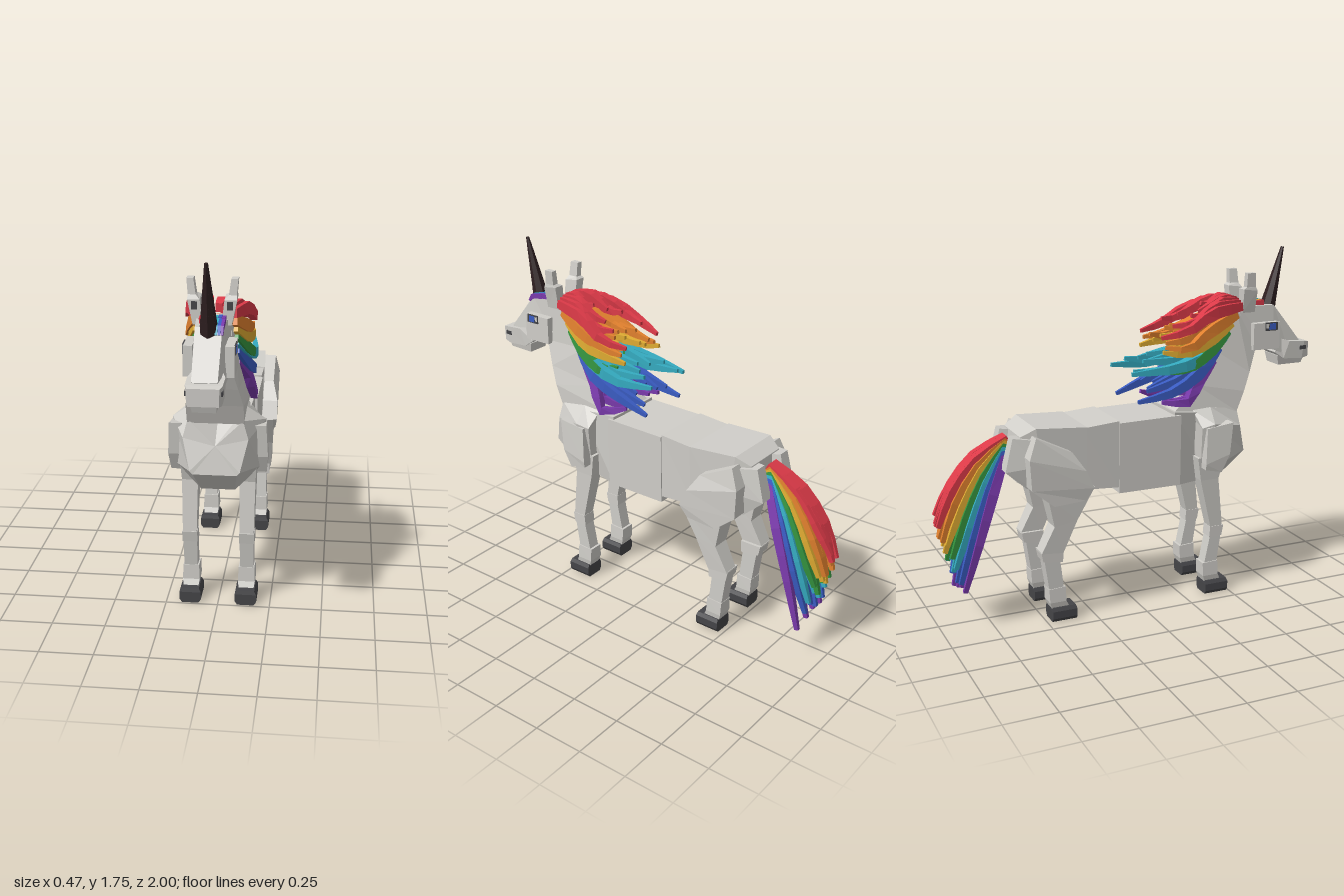
import * as THREE from 'three';

const mat = (name, color) => {
  const m = new THREE.MeshStandardMaterial({ color, flatShading: true });
  m.name = name;
  return m;
};

// Closed faceted solid through a list of rings with equal point counts
function loft(rings) {
  const tris = [], n = rings[0].length, last = rings[rings.length - 1];
  for (let i = 0; i < rings.length - 1; i++)
    for (let j = 0; j < n; j++) {
      const k = (j + 1) % n, a = rings[i], b = rings[i + 1];
      tris.push([a[j], a[k], b[k]], [a[j], b[k], b[j]]);
    }
  for (let j = 1; j < n - 1; j++)
    tris.push([rings[0][0], rings[0][j + 1], rings[0][j]], [last[0], last[j], last[j + 1]]);
  // Turn the solid outside out when its signed volume is negative
  let volume = 0;
  const cross = new THREE.Vector3();
  for (const [a, b, c] of tris) volume += a.dot(cross.crossVectors(b, c));
  const pos = [];
  for (const [a, b, c] of tris)
    for (const p of volume < 0 ? [a, c, b] : [a, b, c]) pos.push(p.x, p.y, p.z);
  const g = new THREE.BufferGeometry();
  g.setAttribute('position', new THREE.Float32BufferAttribute(pos, 3));
  g.computeVertexNormals();
  return g;
}

// Square section between two points of the side outline: [z, y, halfWidth, z, y, halfWidth, shift]
const section = (cx, [za, ya, wa, zb, yb, wb, dx = 0]) => [
  new THREE.Vector3(cx + dx - wa, ya, za), new THREE.Vector3(cx + dx + wa, ya, za),
  new THREE.Vector3(cx + dx + wb, yb, zb), new THREE.Vector3(cx + dx - wb, yb, zb)];

// Tapered square lock of hair along a curve
function strandGeometry(points, size, tip) {
  const curve = new THREE.CatmullRomCurve3(points), rings = [], steps = 6;
  for (let i = 0; i <= steps; i++) {
    const t = i / steps, p = curve.getPointAt(t), d = curve.getTangentAt(t);
    const up = new THREE.Vector3().crossVectors(d, new THREE.Vector3(1, 0, 0)).normalize();
    const side = new THREE.Vector3().crossVectors(up, d);
    const r = size * Math.min(1, 0.65 + t * 1.2) * (1 - t * t) + tip * t * t;
    rings.push([[1, 1], [1, -1], [-1, -1], [-1, 1]].map(([a, b]) =>
      p.clone().addScaledVector(up, a * r).addScaledVector(side, b * r * 0.75)));
  }
  return loft(rings);
}

export function createModel() {
  const model = new THREE.Group();
  model.name = 'unicorn';
  const coat = mat('coat', 0xd0cec9), hoofGrey = mat('hoof grey', 0x454548), dark = mat('horn brown', 0x2e1f20);
  const rainbow = [mat('red', 0xdc3a48), mat('orange', 0xe2812e), mat('yellow', 0xdfab32), mat('green', 0x35943f),
    mat('teal', 0x35abc0), mat('blue', 0x3a5cc2), mat('purple', 0x7a3aac)];
  let seed = 11;
  const jitter = (a) => {
    seed = (seed * 16807) % 2147483647;
    return (seed / 2147483647 - 0.5) * 2 * a;
  };
  const add = (name, geometry, material, parent = model) => {
    const m = new THREE.Mesh(geometry, material);
    m.name = name;
    parent.add(m);
    return m;
  };
  const part = (name, material, cx, sections, parent) =>
    add(name, loft(sections.map((s) => section(cx, s))), material, parent);
  const box = (name, material, w, h, d, x, y, z, parent) => {
    const m = add(name, new THREE.BoxGeometry(w, h, d), material, parent);
    m.position.set(x, y, z);
    return m;
  };

  // Torso blocks
  part('frontBarrel', coat, 0, [[0.42, 0.96, 0.14, 0.44, 0.6, 0.08], [0.19, 0.985, 0.155, 0.2, 0.605, 0.15]]);
  part('middleBarrel', coat, 0, [[0.22, 0.97, 0.165, 0.22, 0.61, 0.16], [-0.11, 0.965, 0.165, -0.11, 0.61, 0.16]]);
  part('rearBarrel', coat, 0, [[-0.11, 0.975, 0.16, -0.11, 0.64, 0.155], [-0.3, 0.96, 0.16, -0.3, 0.65, 0.15]]);
  part('rump', coat, 0, [[-0.28, 0.965, 0.165, -0.28, 0.65, 0.15], [-0.53, 0.98, 0.15, -0.48, 0.63, 0.14],
    [-0.6, 0.94, 0.12, -0.62, 0.72, 0.11]]);

  // Faceted chest, given as half outlines from the centre line downwards
  const chestRings = [
    [[0, 0.85, 0.578], [0.125, 0.965, 0.55], [0.15, 0.88, 0.56], [0.115, 0.735, 0.605], [0.1, 0.72, 0.605]],
    [[0, 0.97, 0.4], [0.13, 0.985, 0.4], [0.22, 0.92, 0.38], [0.2, 0.7, 0.42], [0.08, 0.59, 0.46]],
    [[0, 0.97, 0.3], [0.13, 0.98, 0.3], [0.2, 0.9, 0.32], [0.17, 0.68, 0.33], [0.1, 0.6, 0.34]],
  ].map((half) => [...half.map(([x, y, z]) => new THREE.Vector3(x, y, z)),
    ...half.slice(1).reverse().map(([x, y, z]) => new THREE.Vector3(-x, y, z))]);
  add('chest', loft(chestRings), coat);

  // Neck and head
  part('neck', coat, 0, [[0.68, 1.26, 0.08, 0.565, 1.465, 0.075], [0.63, 1.14, 0.11, 0.43, 1.27, 0.09],
    [0.59, 1.05, 0.13, 0.33, 1.1, 0.11], [0.55, 0.95, 0.13, 0.2, 0.98, 0.13]]);
  part('head', coat, 0, [[0.95, 1.272, 0.055, 0.9, 1.19, 0.06], [0.79, 1.465, 0.058, 0.78, 1.24, 0.08],
    [0.58, 1.47, 0.075, 0.62, 1.25, 0.08]]);
  part('muzzle', coat, 0, [[1, 1.262, 0.068, 1, 1.185, 0.065], [0.97, 1.268, 0.078, 0.96, 1.178, 0.074],
    [0.88, 1.275, 0.08, 0.85, 1.185, 0.075], [0.83, 1.29, 0.06, 0.8, 1.22, 0.07]]);
  part('lowerJaw', coat, 0, [[0.98, 1.18, 0.055, 0.97, 1.15, 0.05], [0.82, 1.2, 0.065, 0.83, 1.15, 0.055]]);

  // Horn built from shrinking tiers
  const horn = new THREE.Group();
  horn.name = 'horn';
  const tiers = 10, hornLength = 0.325;
  for (let i = 0; i < tiers; i++) {
    const r = 0.042 - i * 0.0034;
    add('hornTier', new THREE.CylinderGeometry(r - 0.003, r, hornLength / tiers, 7), dark, horn)
      .position.y = (i + 0.5) * hornLength / tiers;
  }
  horn.position.set(0, 1.435, 0.785);
  horn.rotation.x = 0.25;
  model.add(horn);

  for (const s of [1, -1]) {
    const g = new THREE.Group();
    g.name = (s > 0 ? 'left' : 'right') + 'Side';
    model.add(g);

    // Cheek, eye, nostril and ear
    box('cheek', coat, 0.04, 0.135, 0.15, s * 0.09, 1.317, 0.725, g);
    box('eye', hoofGrey, 0.006, 0.042, 0.07, s * 0.111, 1.365, 0.75, g);
    box('iris', rainbow[5], 0.006, 0.032, 0.035, s * 0.113, 1.365, 0.755, g);
    box('eyeShine', coat, 0.006, 0.022, 0.014, s * 0.113, 1.368, 0.726, g);
    box('nostril', hoofGrey, 0.008, 0.02, 0.036, s * 0.075, 1.235, 0.962, g);
    part('ear', coat, 0, [[0.665, 1.44, 0.022, 0.595, 1.44, 0.022, s * 0.062], [0.665, 1.55, 0.027, 0.59, 1.56, 0.027, s * 0.08],
      [0.655, 1.57, 0.017, 0.605, 1.57, 0.017, s * 0.088], [0.65, 1.64, 0.015, 0.605, 1.64, 0.015, s * 0.096]], g);
    box('innerEar', hoofGrey, 0.026, 0.035, 0.006, s * 0.077, 1.525, 0.666, g);

    // Front leg
    part('shoulder', coat, s * 0.195, [[0.48, 0.92, 0.03, 0.34, 0.9, 0.025], [0.46, 0.76, 0.038, 0.33, 0.72, 0.035],
      [0.42, 0.67, 0.03, 0.33, 0.69, 0.03]], g);
    part('frontForearm', coat, s * 0.136, [[0.46, 0.74, 0.045, 0.31, 0.74, 0.045], [0.43, 0.62, 0.038, 0.33, 0.62, 0.038],
      [0.46, 0.35, 0.033, 0.395, 0.35, 0.033]], g);
    part('frontKnee', coat, s * 0.136, [[0.465, 0.365, 0.036, 0.39, 0.365, 0.036], [0.455, 0.31, 0.036, 0.385, 0.31, 0.036]], g);
    part('frontCannon', coat, s * 0.135, [[0.455, 0.33, 0.033, 0.395, 0.33, 0.033], [0.43, 0.16, 0.032, 0.36, 0.16, 0.032]], g);

    // Rear leg with hip and buttock blocks
    part('hip', coat, s * 0.175, [[-0.37, 0.86, 0.03, -0.55, 0.95, 0.03], [-0.31, 0.77, 0.055, -0.59, 0.85, 0.05],
      [-0.27, 0.68, 0.055, -0.58, 0.7, 0.045], [-0.31, 0.62, 0.045, -0.47, 0.61, 0.045]], g);
    part('buttock', coat, s * 0.085, [[-0.52, 0.925, 0.065, -0.64, 0.94, 0.03, s * 0.015],
      [-0.52, 0.8, 0.07, -0.68, 0.78, 0.035, s * 0.015], [-0.5, 0.66, 0.06, -0.58, 0.69, 0.05]], g);
    part('rearThigh', coat, s * 0.155, [[-0.26, 0.68, 0.055, -0.5, 0.66, 0.055], [-0.35, 0.52, 0.048, -0.465, 0.5, 0.045],
      [-0.42, 0.36, 0.038, -0.53, 0.37, 0.038]], g);
    part('hock', coat, s * 0.143, [[-0.415, 0.375, 0.042, -0.53, 0.375, 0.042], [-0.42, 0.31, 0.042, -0.52, 0.325, 0.042]], g);
    part('rearCannon', coat, s * 0.135, [[-0.43, 0.33, 0.034, -0.51, 0.33, 0.034], [-0.41, 0.16, 0.033, -0.485, 0.16, 0.033]], g);

    // Fetlocks and bevelled hooves
    for (const [leg, z] of [['front', 0.425], ['rear', -0.413]]) {
      part(leg + 'Fetlock', coat, s * 0.134, [[z + 0.01, 0.175, 0.038, z - 0.075, 0.17, 0.038],
        [z + 0.012, 0.1, 0.041, z - 0.072, 0.1, 0.041], [z + 0.03, 0.065, 0.035, z - 0.06, 0.065, 0.035]], g);
      part(leg + 'Hoof', hoofGrey, s * 0.134, [[z + 0.065, 0, 0.04, z - 0.062, 0, 0.04], [z + 0.065, 0.018, 0.052, z - 0.062, 0.018, 0.052],
        [z + 0.065, 0.055, 0.052, z - 0.062, 0.055, 0.052], [z + 0.06, 0.073, 0.042, z - 0.06, 0.073, 0.042]], g);
    }
  }

  // Mane: one row of locks per colour, each with four [z, y] points from root to tip
  const maneRows = [
    [[0.585, 1.49], [0.4, 1.485], [0.26, 1.42], [0.13, 1.4]],
    [[0.56, 1.44], [0.38, 1.37], [0.26, 1.32], [0.15, 1.33]],
    [[0.53, 1.4], [0.36, 1.315], [0.25, 1.29], [0.13, 1.285]],
    [[0.51, 1.36], [0.37, 1.26], [0.27, 1.21], [0.16, 1.19]],
    [[0.49, 1.33], [0.34, 1.24], [0.18, 1.195], [-0.03, 1.2]],
    [[0.46, 1.28], [0.33, 1.17], [0.19, 1.1], [0, 1.06]],
    [[0.43, 1.22], [0.32, 1.12], [0.27, 1.03], [0.13, 1.03]]];
  const mane = new THREE.Group();
  mane.name = 'mane';
  model.add(mane);
  const widths = [0.085, 0.125, 0.145, 0.13];
  maneRows.forEach((row, r) => {
    const [rootZ, rootY] = row[0];
    for (const s of [1, -1])
      for (const u of [0.25, 0.5, 0.75, 1]) {
        // Inner locks are shorter, so the crest opens in a V
        const reach = (r === 0 ? 0.25 + 0.75 * u : 0.62 + 0.38 * u) + (u < 1 ? jitter(0.06) : 0);
        const fall = r === 0 ? 0.02 - 0.06 * u * u : 0.02 - 0.03 * u;
        const points = row.map(([z, y], i) => new THREE.Vector3(s * u * widths[i] + (i > 1 ? jitter(0.01) : 0),
          rootY + (y - rootY) * reach + fall * Math.min(1, 0.4 + i * 0.4) + (i > 1 ? jitter(0.018) : 0),
          rootZ + (z - rootZ) * reach));
        add('maneLock', strandGeometry(points, 0.031, 0.009), rainbow[r], mane);
      }
  });

  // Short forelock between the ears and horn, with longer locks over the left brow
  rainbow.forEach((m, i) => box('forelockLock', m, 0.015, 0.025, 0.05, -0.04 + i * 0.016, 1.478, 0.715 - (i % 2) * 0.012));
  [4, 5, 6].forEach((c, i) => part('browLock', rainbow[c], 0.032 + i * 0.013,
    [[0.73, 1.49, 0.007, 0.72, 1.465, 0.007], [0.8, 1.475, 0.007, 0.785, 1.455, 0.007], [0.82, 1.44, 0.005, 0.81, 1.435, 0.005]]));

  // Tail: red on the outside through purple on the inside
  const tail = new THREE.Group();
  tail.name = 'tail';
  model.add(tail);
  rainbow.forEach((m, row) => {
    const t = row / 6, mix = (a, b) => a + (b - a) * t;
    for (const u of [-1, -0.33, 0.33, 1]) {
      const spread = u * mix(0.036, 0.115);
      add('tailLock', strandGeometry([
        new THREE.Vector3(u * 0.02, mix(0.915, 0.88), -0.63),
        new THREE.Vector3(spread * 0.75, mix(0.825, 0.69), mix(-0.79, -0.725)),
        new THREE.Vector3(spread, mix(0.675, 0.44), mix(-0.92, -0.815)),
        new THREE.Vector3(spread * 0.85 + jitter(0.015), mix(0.53, 0.18) + jitter(0.035), mix(-0.988, -0.885)),
      ], 0.027, 0.011), m, tail);
    }
  });
  return model;
}
